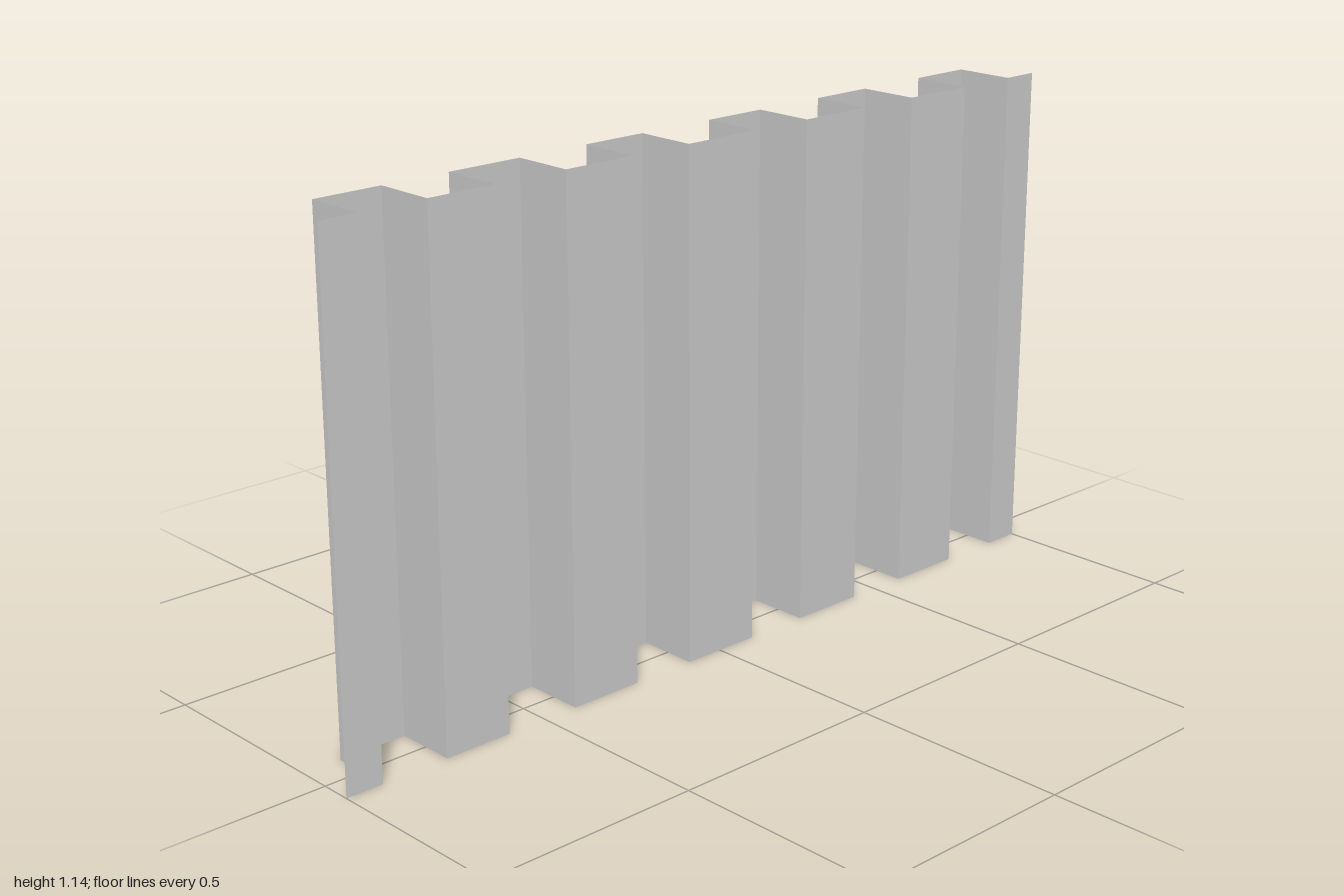
import * as THREE from 'three';

// z positions of the right-angle folds, from the front end to the back end
const FOLDS = [0.913, 0.755, 0.595, 0.418, 0.244, 0.091, -0.099, -0.252, -0.431, -0.584, -0.763, -0.913];
const HEIGHT = 1.145;
const HALF_DEPTH = 0.07;

export function createModel() {
  const group = new THREE.Group();
  group.name = 'corrugatedPanel';

  // Square-wave outline: flanges alternate between the +x and -x faces
  const outline = [[HALF_DEPTH, 1]];
  let x = HALF_DEPTH;
  for (const z of FOLDS) {
    outline.push([x, z], [-x, z]);
    x = -x;
  }
  outline.push([x, -1]);

  // One open, zero-thickness strip per outline segment, with hard folds
  const positions = [];
  for (let i = 0; i < outline.length - 1; i++) {
    const [x0, z0] = outline[i];
    const [x1, z1] = outline[i + 1];
    positions.push(x0, 0, z0, x1, 0, z1, x1, HEIGHT, z1);
    positions.push(x0, 0, z0, x1, HEIGHT, z1, x0, HEIGHT, z0);
  }
  const geometry = new THREE.BufferGeometry();
  geometry.setAttribute('position', new THREE.Float32BufferAttribute(positions, 3));
  geometry.computeVertexNormals();

  const material = new THREE.MeshStandardMaterial({
    color: 0xcccccc, flatShading: true, side: THREE.DoubleSide,
  });
  const sheet = new THREE.Mesh(geometry, material);
  sheet.name = 'corrugatedSheet';
  group.add(sheet);
  return group;
}
